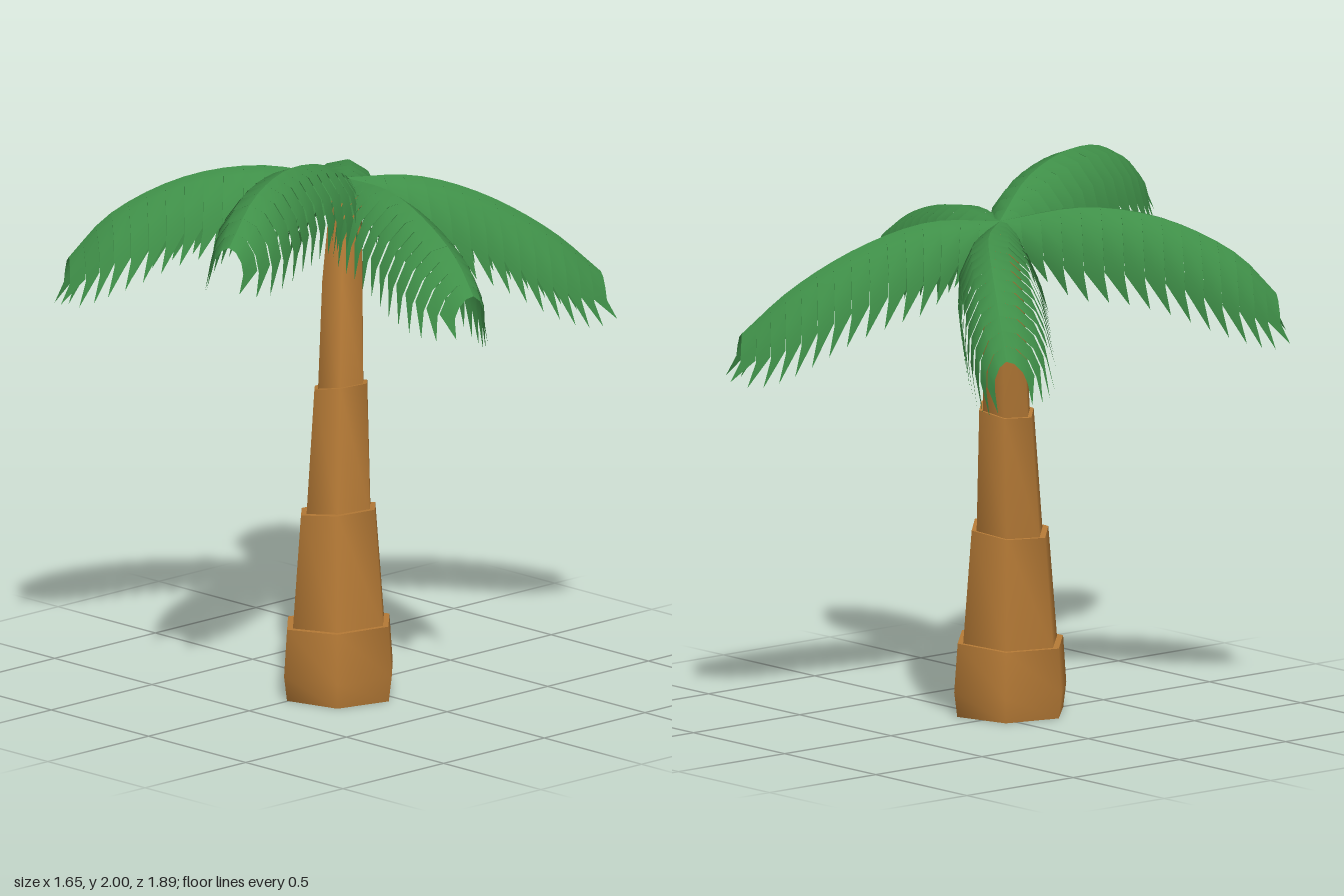
import * as THREE from 'three';

const bark = new THREE.MeshStandardMaterial({ color: 0xb57a36 });
const green = new THREE.MeshStandardMaterial({ color: 0x3f8f48, side: THREE.DoubleSide });

function toGeometry(pos, idx) {
  const g = new THREE.BufferGeometry();
  g.setAttribute('position', new THREE.Float32BufferAttribute(pos, 3));
  g.setIndex(idx);
  g.computeVertexNormals();
  return g;
}

// Six-sided trunk section lofted through rings of [x, y, z, radius, tilt], closed at both ends
function trunkSection(rings) {
  const N = 6, pos = [], idx = [];
  const addRing = ([x, y, z, r, tilt]) => {
    const start = pos.length / 3;
    for (let i = 0; i < N; i++) {
      const a = -Math.PI / 12 + (i / N) * Math.PI * 2;
      pos.push(x + r * Math.cos(a), y + r * Math.cos(a) * tilt, z + r * Math.sin(a));
    }
    return start;
  };
  const starts = rings.map(addRing);
  for (let k = 0; k + 1 < starts.length; k++) {
    for (let i = 0; i < N; i++) {
      const j = (i + 1) % N, b = starts[k], t = starts[k + 1];
      idx.push(b + i, t + i, t + j, b + i, t + j, b + j);
    }
  }
  const addCap = (ring, up) => {
    const s = addRing(ring), c = pos.length / 3;
    pos.push(ring[0], ring[1], ring[2]);
    for (let i = 0; i < N; i++) {
      const j = (i + 1) % N;
      idx.push(c, s + (up ? j : i), s + (up ? i : j));
    }
  };
  addCap(rings[0], false);
  addCap(rings[rings.length - 1], true);
  return toGeometry(pos, idx);
}

// Half cross-section of a frond: [outward, downward] from the rib to the blade edge, then the leaflet tip
const SECTION = [[0, 0], [0.065, 0.025], [0.12, 0.1], [0.142, 0.19]];
const TIP = [0.16, 0.3];

// Frond width along its length: narrow at the crown, full in the middle, tapering to the end
function frondScale(t) {
  const grow = Math.min(1, 0.4 + t * 2.6);
  const fade = t > 0.6 ? 1 - 0.6 * ((t - 0.6) / 0.4) ** 2.5 : 1;
  return grow * fade;
}

// Arching frond: a row of overlapping pointed leaflets down both sides of a curved rib, rolled about it
function frond({ points, roll }, leaflets = 15) {
  const rib = new THREE.CatmullRomCurve3(points.map((p) => new THREE.Vector3(...p)));
  const pos = [], idx = [], c = Math.cos(roll), s = Math.sin(roll);
  const place = (t, side, [out, down], scale, forward) => {
    const p = rib.getPointAt(t), d = rib.getTangentAt(t);
    const flat = Math.hypot(d.x, d.z);
    const across = (out * side * c + down * s) * scale;
    p.addScaledVector(d, forward);
    p.x -= (d.z / flat) * across;
    p.z += (d.x / flat) * across;
    p.y += (out * side * s - down * c) * scale;
    pos.push(p.x, p.y, p.z);
  };
  for (const side of [-1, 1]) {
    const tri = (i, j, k) => (side > 0 ? idx.push(i, k, j) : idx.push(i, j, k));
    for (let i = 0; i < leaflets; i++) {
      const t0 = i / leaflets, t1 = (i + 1) / leaflets;
      const first = pos.length / 3, rows = SECTION.length;
      SECTION.forEach((pt, k) => {
        place(t0, side, pt, frondScale(t0), k * 0.005);
        place(t1, side, pt, frondScale(t1) * 1.07, k * 0.005);
      });
      // leaflet tips sweep further forward towards the end of the frond
      place(t1, side, TIP, frondScale(t1), 0.03 + 0.035 * t1 ** 3);
      for (let k = 0; k + 1 < rows; k++) {
        const a = first + k * 2;
        tri(a, a + 1, a + 3);
        tri(a, a + 3, a + 2);
      }
      const e = first + (rows - 1) * 2;
      tri(e, e + 1, e + 2);
    }
  }
  return toGeometry(pos, idx);
}

export function createModel() {
  const palm = new THREE.Group();
  palm.name = 'palmTree';

  // Trunk: four stacked, leaning, tapering sections
  const trunk = new THREE.Group();
  trunk.name = 'trunk';
  const sections = {
    trunkBase: [[0.05, 0, 0.105, 0.21, 0], [0.05, 0.09, 0.105, 0.222, 0], [0.047, 0.265, 0.103, 0.209, 0.05]],
    lowerTrunk: [[0.045, 0.25, 0.1, 0.187, 0.05], [0.028, 0.675, 0.085, 0.152, 0.12]],
    middleTrunk: [[0.022, 0.66, 0.078, 0.131, 0.12], [-0.005, 1.12, 0.04, 0.108, 0.18]],
    upperTrunk: [[-0.008, 1.1, 0.038, 0.093, 0.18], [-0.047, 1.5, -0.008, 0.082, 0.15], [-0.078, 1.78, -0.055, 0.065, 0.15]],
  };
  for (const [name, rings] of Object.entries(sections)) {
    const mesh = new THREE.Mesh(trunkSection(rings), bark);
    mesh.name = name;
    trunk.add(mesh);
  }
  palm.add(trunk);

  // Crown: five fronds fanning out from the trunk top
  const crown = new THREE.Group();
  crown.name = 'crown';
  const root = [-0.12, 1.84, -0.09];
  const fronds = {
    frontFrond: { roll: 0, points: [root, [-0.01, 1.95, 0.13], [0.09, 2.0, 0.4], [0.2, 1.965, 0.67], [0.29, 1.84, 0.88]] },
    leftFrond: { roll: 0.25, points: [root, [0.15, 1.85, -0.05], [0.4, 1.8, 0.01], [0.62, 1.71, 0.07], [0.76, 1.61, 0.12]] },
    backFrond: { roll: 0, points: [root, [0.03, 1.84, -0.29], [0.16, 1.76, -0.5], [0.3, 1.61, -0.71], [0.4, 1.45, -0.86]] },
    rightBackFrond: { roll: -0.2, points: [root, [-0.27, 1.83, -0.27], [-0.47, 1.77, -0.43], [-0.64, 1.64, -0.54], [-0.75, 1.49, -0.6]] },
    rightFrontFrond: { roll: -0.2, points: [root, [-0.32, 1.89, 0.14], [-0.5, 1.85, 0.35], [-0.66, 1.72, 0.56], [-0.74, 1.57, 0.68]] },
  };
  for (const [name, spec] of Object.entries(fronds)) {
    const mesh = new THREE.Mesh(frond(spec), green);
    mesh.name = name;
    crown.add(mesh);
  }
  palm.add(crown);
  return palm;
}
